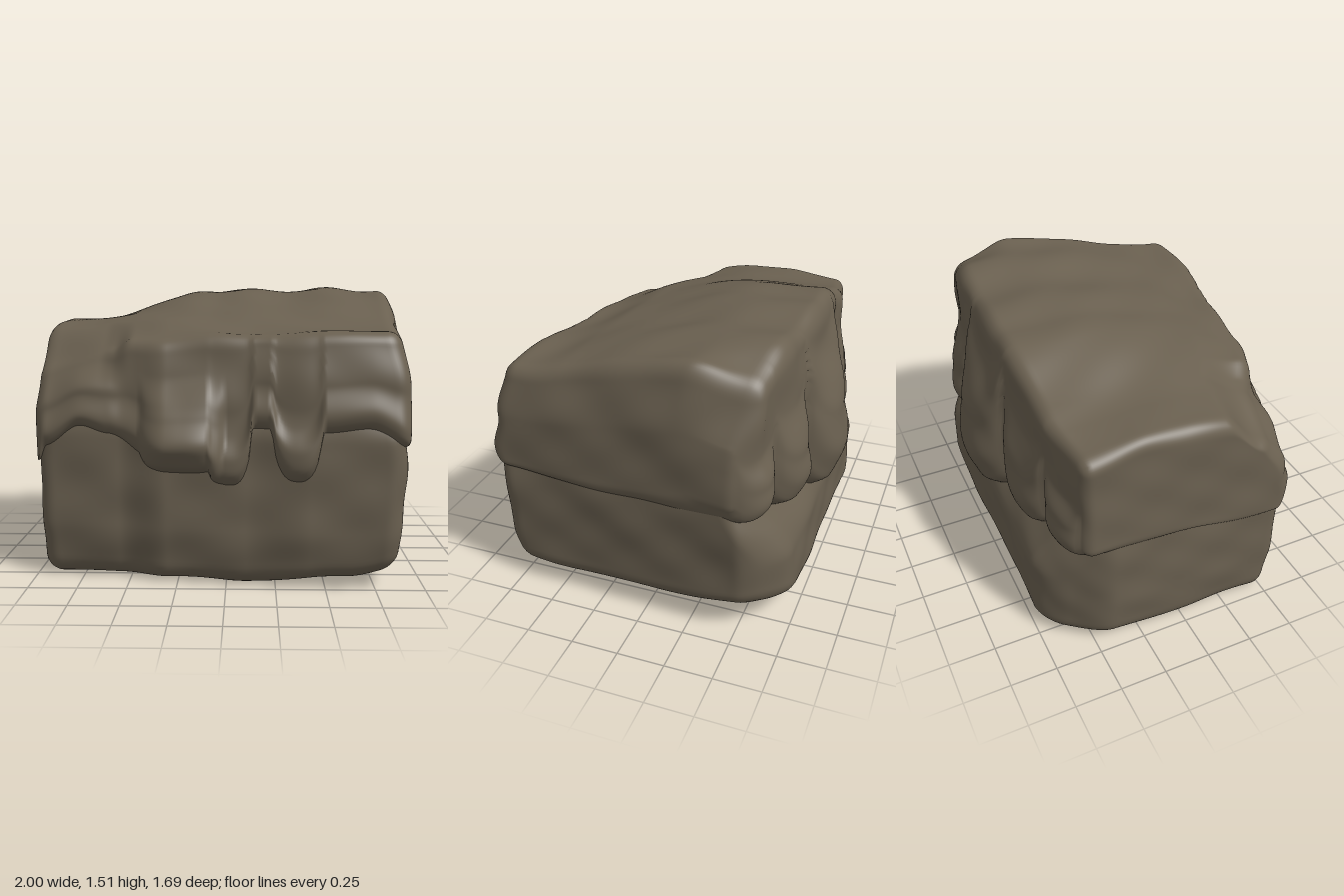
import * as THREE from 'three';
import { mergeVertices } from 'three/addons/utils/BufferGeometryUtils.js';

const { clamp, lerp } = THREE.MathUtils;
// Smooth 0..1 ramp, works in both directions
const ramp = (a, b, v) => {
  const t = clamp((v - a) / (b - a), 0, 1);
  return t * t * (3 - 2 * t);
};
// Smooth curve through [position, value] pairs
function curve(points, v) {
  if (v <= points[0][0]) return points[0][1];
  for (let i = 1; i < points.length; i++) {
    const [x0, y0] = points[i - 1], [x1, y1] = points[i];
    if (v <= x1) return lerp(y0, y1, ramp(x0, x1, v));
  }
  return points[points.length - 1][1];
}
// Gentle chipped unevenness
const rough = (x, y, z) =>
  0.4 * Math.sin(5 * x + 3 * y + 2 * z) + 0.35 * Math.sin(9 * z - 7 * y + 4 * x + 1) +
  0.25 * Math.sin(13 * x - 11 * z + 17 * y) + 0.18 * Math.sin(23 * y + 15 * z - 12 * x);

// Outline of the front and back faces in plan
const frontPlan = [[-1, 0.57], [-0.55, 0.63], [-0.3, 0.71], [0.1, 0.75], [0.42, 0.81], [0.9, 0.82]];
const backPlan = [[-1, -0.58], [-0.6, -0.63], [0, -0.67], [0.5, -0.65], [0.85, -0.6], [1, -0.54]];
// Wavy lip and top front edge of the upper layer
const frontLip = [[-1, 0.56], [-0.93, 0.68], [-0.75, 0.79], [-0.6, 0.75], [-0.38, 0.63], [-0.2, 0.59],
  [-0.08, 0.62], [0.14, 0.8], [0.5, 0.78], [0.7, 0.81], [0.92, 0.71]];
const backLip = [[-1, 0.68], [-0.6, 0.76], [0, 0.74], [0.6, 0.79], [1, 0.78]];
const frontEdge = [[-1, 1.16], [-0.58, 1.18], [-0.48, 1.24], [0, 1.28], [0.9, 1.29]];

// Drops hanging from the lip: centre x, half width, lowest y, bulge
const frontDrops = [[-0.22, 0.21, 0.59, 0.1], [0.02, 0.11, 0.51, 0.025], [0.35, 0.12, 0.54, 0.03]];
const backDrops = [[0.86, 0.12, 0.71, 0.06], [0.56, 0.17, 0.63, 0.1], [0.06, 0.28, 0.48, 0.155],
  [-0.43, 0.21, 0.57, 0.09], [-0.8, 0.14, 0.66, 0.06]];
// Bulge of a drop by height, in drop widths above its tip
const bulgeFade = [[0, 0.45], [0.12, 0.75], [0.4, 1], [0.75, 0.75], [1.35, 0]];

// Lip height and outward bulge of the drops at x, at fraction v of the layer's height
function drape(drops, x, plainLip, v) {
  let lip = plainLip, bulge = 0;
  for (const [cx, half, low, out] of drops) {
    const round = Math.sqrt(Math.max(0, 1 - Math.abs((x - cx) / half) ** 2.6));
    const tip = Math.min(plainLip, lerp(plainLip, low, round));
    lip = Math.min(lip, tip);
    const above = (lerp(tip, 1.38, v) - tip) / (2 * half);
    bulge = Math.max(bulge, out * round ** 1.4 * curve(bulgeFade, above));
  }
  return { lip, bulge };
}

// Rounded, subdivided block whose vertices are moved by shape(p), p in -1..1
function slab(half, radius, shape) {
  let g = new THREE.BoxGeometry(half.x * 2, half.y * 2, half.z * 2, 130, 46, 70);
  g.deleteAttribute('uv');
  g.deleteAttribute('normal');
  g = mergeVertices(g);
  const inner = half.clone().subScalar(radius);
  const outer = inner.clone().negate();
  const p = new THREE.Vector3(), core = new THREE.Vector3(), dir = new THREE.Vector3();
  const pos = g.attributes.position;
  for (let i = 0; i < pos.count; i++) {
    p.fromBufferAttribute(pos, i);
    core.copy(p).clamp(outer, inner);
    dir.copy(p).sub(core).normalize();
    p.copy(core).addScaledVector(dir, radius).divide(half);
    shape(p);
    p.addScaledVector(dir, 0.01 * rough(p.x, p.y, p.z));
    pos.setXYZ(i, p.x, p.y, p.z);
  }
  g.computeVertexNormals();
  return g;
}

// Lower block: flared back foot with cut corners, underside lifting towards +x
function shapeLower(p) {
  const v = (p.y + 1) / 2, w = (p.z + 1) / 2;
  const left = curve([[0, -0.955], [0.3, -0.975], [0.6, -0.98], [1, -0.96]], v);
  const right = curve([[0, 0.95], [0.6, 0.975], [1, 0.95]], v) - 0.09 * w;
  const x = lerp(left, right, (p.x + 1) / 2);
  const bottom = 0.01 + 0.04 * ramp(0, 0.6, x) + 0.08 * ramp(0.6, 1, x) + 0.03 * ramp(0.3, -0.7, p.z)
    + 0.05 * ramp(0.5, 1, x) * ramp(-0.4, -1, p.z);
  const y = lerp(bottom, 1, v);
  const front = curve(frontPlan, x) - curve([[0, 0.06], [0.3, 0.015], [0.75, 0.01], [1, 0.07]], y);
  const back = curve([[0.05, -0.735], [0.42, -0.735], [0.8, -0.55], [1, -0.53]], y)
    + 0.05 * ramp(0.8, 1, Math.abs(x));
  const z = lerp(back, front, w);
  const cut = x < 0 ? 0.2 * ramp(-0.4, -0.76, z) : 0.13 * ramp(-0.5, -0.74, z);
  p.set(x * (1 - cut), y, z);
}

// Upper layer: sloping crown with worn corners, draped lower lip with drops
function shapeUpper(p) {
  const v = (p.y + 1) / 2, w = (p.z + 1) / 2;
  const right = 1.0 - 0.1 * w - 0.05 * ramp(0.55, 1, v)
    - 0.07 * ramp(0.4, 1, v) * ramp(-0.5, -1, p.z);
  const x = lerp(-0.99, right, (p.x + 1) / 2);
  const f = drape(frontDrops, x, curve(frontLip, x), v);
  const b = drape(backDrops, x, curve(backLip, x), v);
  const front = curve(frontPlan, x) + curve([[0, -0.005], [0.2, 0.02], [0.5, -0.02], [1, -0.07]], v)
    - 0.08 * ramp(-0.5, -0.65, x) * ramp(0.55, 1, v) + f.bulge;
  const back = curve(backPlan, x) - b.bulge
    - 0.02 * Math.sin(v * Math.PI) * ramp(1, 0.5, Math.abs(x));
  const z = lerp(back, front, w);
  const lip = lerp(b.lip, f.lip, ramp(-0.8, 0.85, p.z)) - 0.03 * ramp(0.85, 1, x);
  const crown = 1.33 + 0.16 * ramp(-0.75, -0.1, x) + 0.012 * Math.sin(14 * x) * ramp(-0.3, 0, x);
  // Slope down to the front edge, with worn end corners
  let top = lerp(crown, 1.285, ramp(-0.35, 0.8, z));
  top = lerp(top, Math.min(top, curve(frontEdge, x)), ramp(0.5, 0.95, p.z));
  top -= 0.07 * ramp(-0.6, -1, x) * ramp(0.1, 1, p.z);
  top -= 0.12 * ramp(0.6, 1, x) * ramp(-0.5, -1, p.z);
  top -= 0.05 * ramp(-0.6, -1, x) * ramp(-0.3, -1, p.z);
  p.set(x, lerp(lip, top, v), z);
}

export function createModel() {
  const model = new THREE.Group();
  model.name = 'rockBlock';
  const stone = new THREE.MeshStandardMaterial({ color: 0x6a6050 });
  stone.name = 'brown stone';

  const add = (name, geometry) => {
    const mesh = new THREE.Mesh(geometry, stone);
    mesh.name = name;
    model.add(mesh);
  };
  add('lowerBlock', slab(new THREE.Vector3(0.97, 0.5, 0.74), 0.09, shapeLower));
  add('upperLayer', slab(new THREE.Vector3(0.98, 0.34, 0.7), 0.075, shapeUpper));
  return model;
}
